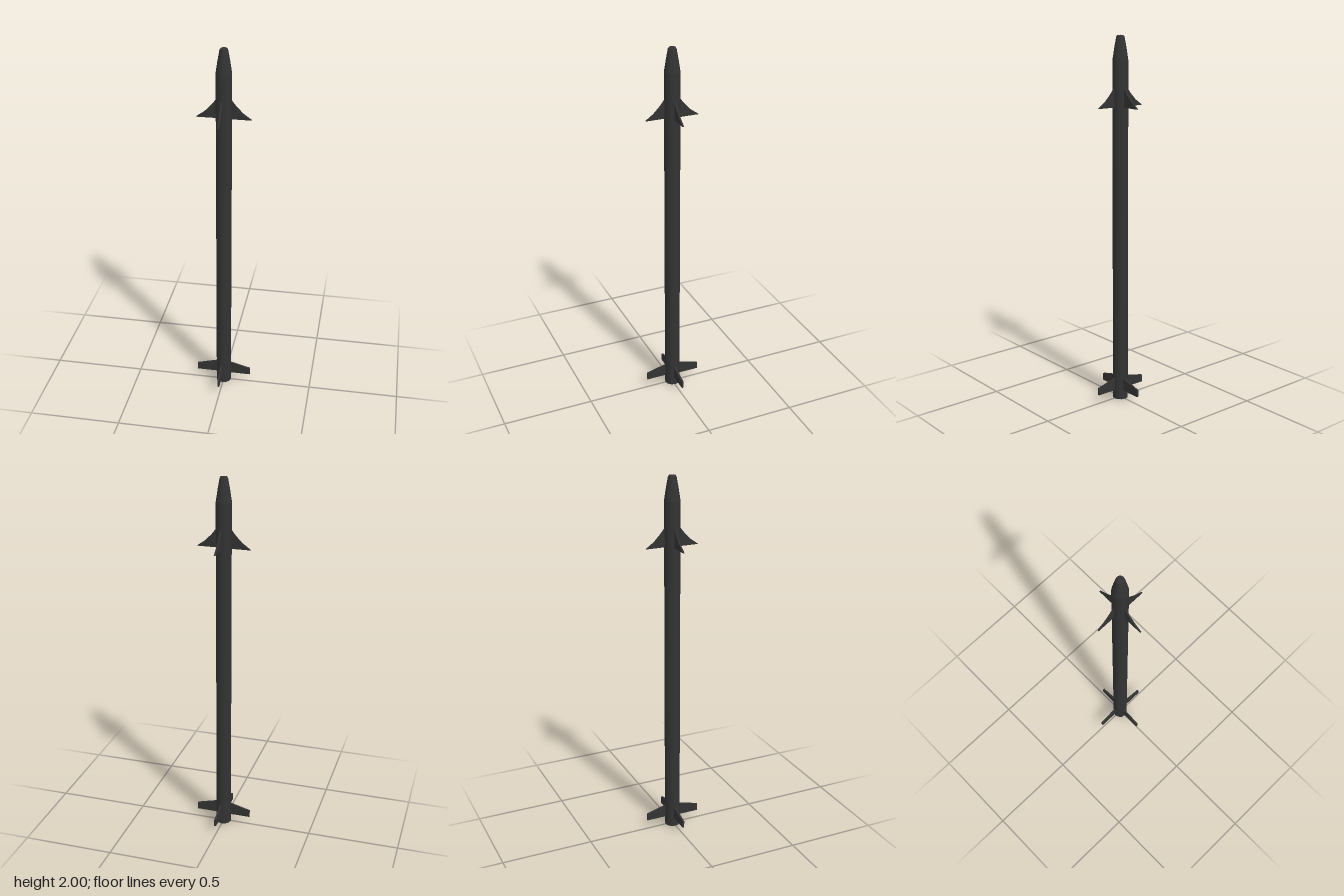
import * as THREE from 'three';

const material = new THREE.MeshStandardMaterial({ color: 0x333333 });
const CENTRE_Z = -0.002;

function addMesh(parent, geometry, name) {
  const mesh = new THREE.Mesh(geometry, material);
  mesh.name = name;
  parent.add(mesh);
  return mesh;
}

// Thin plate cut from a radius/height outline
function finGeometry(outline, thickness) {
  const shape = new THREE.Shape(outline.map(([x, y]) => new THREE.Vector2(x, y)));
  const geometry = new THREE.ExtrudeGeometry(shape, { depth: thickness, bevelEnabled: false });
  return geometry.translate(0, 0, -thickness / 2);
}

// Four fins around the body, each shifted sideways a little from the axis
function addFins(parent, name, outline, thickness) {
  const offsets = [0.002, 0.005, -0.002, -0.005];
  const geometry = finGeometry(outline, thickness);
  const set = new THREE.Group();
  set.name = name + 's';
  offsets.forEach((offset, i) => {
    const fin = addMesh(set, geometry, name);
    const angle = (i * Math.PI) / 2;
    fin.rotation.y = angle;
    if (i % 2 === 0) fin.position.z = offset;
    else fin.position.x = offset;
  });
  parent.add(set);
}

export function createModel() {
  const group = new THREE.Group();
  const missile = new THREE.Group();
  missile.name = 'missile';
  missile.position.z = CENTRE_Z;
  group.add(missile);

  const sides = 12;
  const radius = 0.042;

  // Long tube, closed at the tail
  const tube = new THREE.CylinderGeometry(radius, radius, 1.87, sides);
  addMesh(missile, tube.translate(0, 0.935, 0), 'body');

  // Tapered nose with a small blunt tip
  const profile = [[radius, 1.87], [0.032, 1.935], [0.022, 1.99], [0.017, 1.998], [0, 2]];
  const nose = new THREE.LatheGeometry(profile.map(([r, y]) => new THREE.Vector2(r, y)), sides);
  addMesh(missile, nose, 'nose');

  // Swept forward fins with a concave leading edge
  addFins(missile, 'forwardFin',
    [[0.03, 1.63], [0.145, 1.63], [0.1, 1.662], [0.065, 1.698], [0.04, 1.73], [0.03, 1.74]], 0.008);

  // Broad tail fins
  addFins(missile, 'tailFin',
    [[0.03, 0.05], [0.154, 0.05], [0.154, 0.09], [0.04, 0.12], [0.03, 0.12]], 0.01);

  return group;
}
